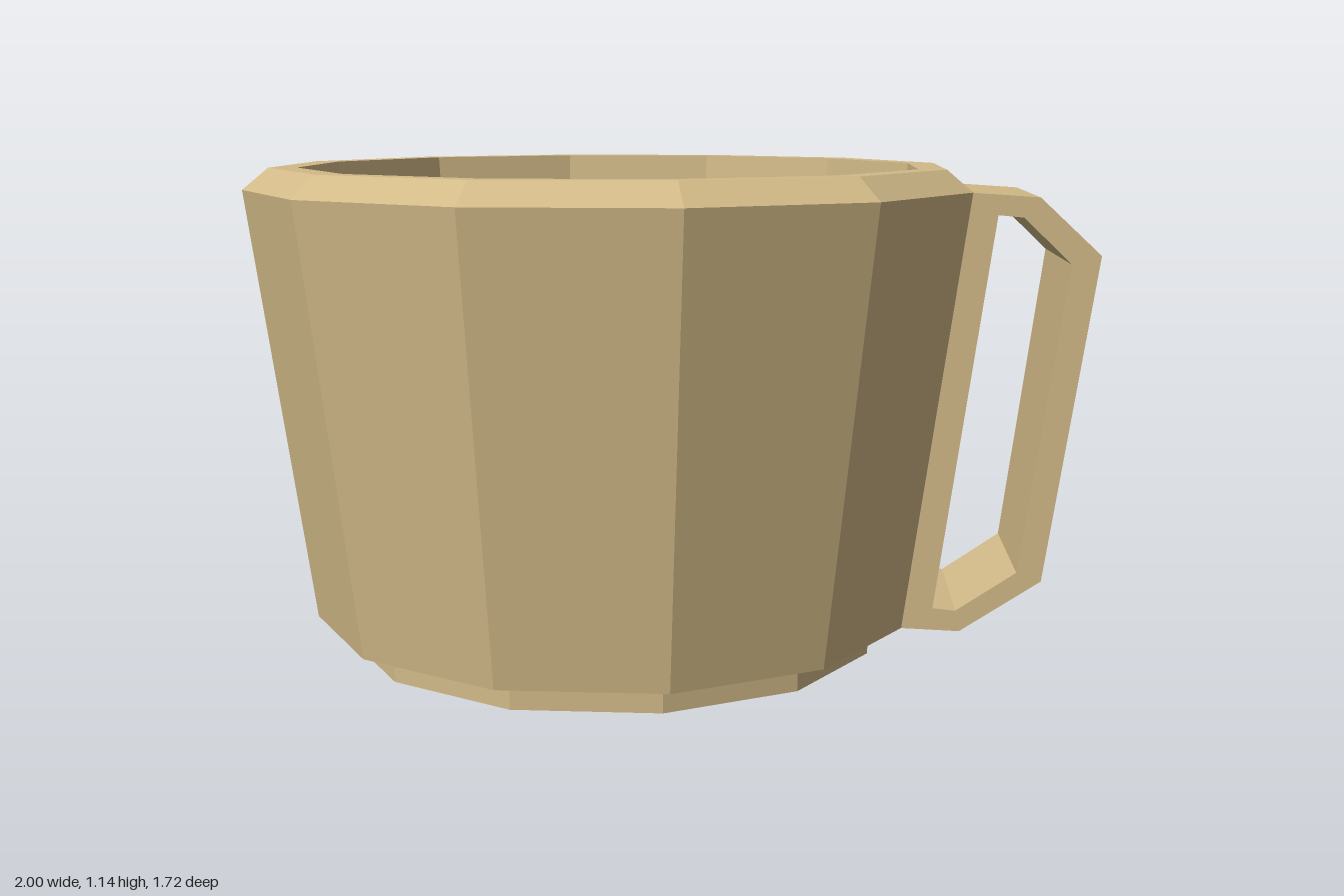
import * as THREE from 'three';

const CUP_X = -0.14;
const toPoints = (list) => list.map(([x, y]) => new THREE.Vector2(x, y));

export function createModel() {
  const group = new THREE.Group();
  group.name = 'cup';
  const clay = new THREE.MeshStandardMaterial({ color: 0xd2ba88 });
  clay.name = 'tan clay';
  clay.flatShading = true;

  // Twelve-sided bowl: foot, sloping wall, bevelled rim and hollow inside
  const profile = toPoints([
    [0, 0], [0.64, 0], [0.64, 0.07], [0.72, 0.07], [0.86, 1.09],
    [0.8, 1.14], [0.735, 1.14], [0.65, 0.14], [0, 0.14],
  ]);
  const bowl = new THREE.Mesh(new THREE.LatheGeometry(profile, 12), clay);
  bowl.name = 'bowl';
  bowl.position.x = CUP_X;
  group.add(bowl);

  // Handle outline (distance from the cup axis, height) with its finger hole
  const outline = new THREE.Shape(toPoints([
    [0.69, 0.07], [0.83, 0.065], [1.015, 0.19], [1.12, 0.95], [0.98, 1.08], [0.826, 1.09],
  ]));
  outline.holes.push(new THREE.Path(toPoints([
    [0.767, 0.12], [0.888, 1.04], [0.945, 1.035], [1.055, 0.93], [0.958, 0.21], [0.82, 0.115],
  ])));
  const handleGeometry = new THREE.ExtrudeGeometry(outline, { depth: 1, bevelEnabled: false });

  // Widen the handle upwards so it matches the cup facet it grows from
  const pos = handleGeometry.attributes.position;
  for (let i = 0; i < pos.count; i++) {
    const width = 0.373 + 0.0706 * (pos.getY(i) - 0.07);
    pos.setZ(i, (pos.getZ(i) - 0.5) * width);
  }
  handleGeometry.rotateY(Math.PI / 12);
  handleGeometry.computeVertexNormals();
  const handle = new THREE.Mesh(handleGeometry, clay);
  handle.name = 'handle';
  handle.position.x = CUP_X;
  group.add(handle);

  return group;
}
